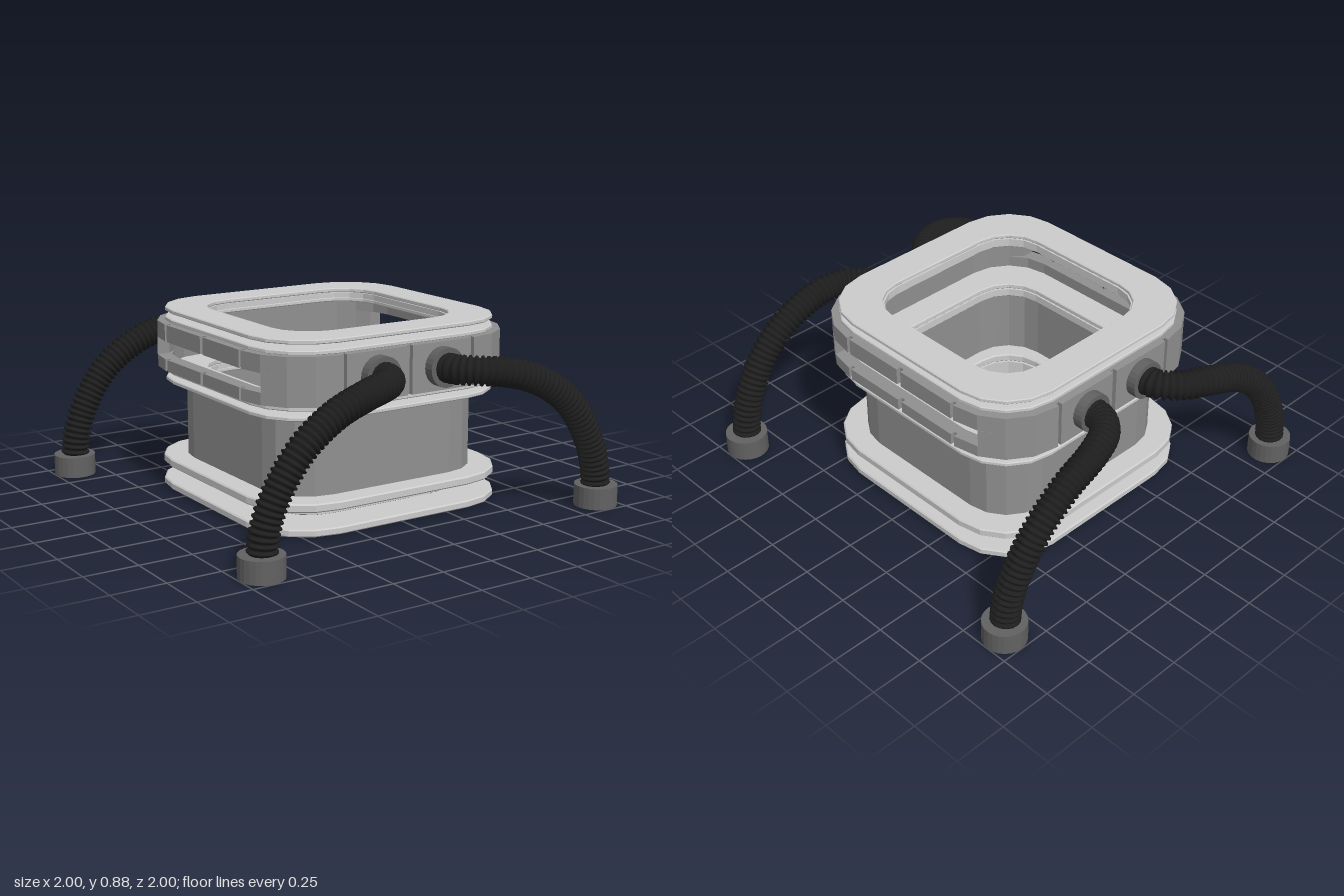
import * as THREE from 'three';

const paint = (color) => new THREE.MeshStandardMaterial({ color, flatShading: true });
const SEG = 4; // facets per rounded corner

// Points round one corner of a rounded square, from the x side to the z side
function corner(half, r, sx, sz, first = 0) {
  const pts = [];
  for (let i = first; i <= SEG; i++) {
    const a = (i / SEG) * Math.PI / 2;
    pts.push(new THREE.Vector2(sx * (half - r + r * Math.cos(a)), sz * (half - r + r * Math.sin(a))));
  }
  return pts;
}

function outline(half, r) {
  return [
    ...corner(half, r, 1, 1), ...corner(half, r, -1, 1).reverse(),
    ...corner(half, r, -1, -1), ...corner(half, r, 1, -1).reverse(),
  ];
}

// Extrude a plan shape upwards from y0 to y1
function slab(shape, y0, y1, bevel = 0) {
  const g = new THREE.ExtrudeGeometry(shape, {
    depth: y1 - y0 - 2 * bevel, bevelEnabled: bevel > 0, bevelSize: bevel,
    bevelThickness: bevel, bevelOffset: -bevel, bevelSegments: 1,
  });
  g.rotateX(-Math.PI / 2);
  g.translate(0, y0 + bevel, 0);
  return g;
}

export function createModel() {
  const model = new THREE.Group();
  const light = paint(0xcccccc), grey = paint(0x909090), dark = paint(0x626262);
  const rubber = new THREE.MeshStandardMaterial({ color: 0x1e1e1e });
  const add = (name, geometry, material, parent = model) => {
    const mesh = new THREE.Mesh(geometry, material);
    mesh.name = name;
    parent.add(mesh);
    return mesh;
  };
  const ring = (name, y0, y1, half, r, inHalf, inR, material, bevel = 0) => {
    const shape = new THREE.Shape(outline(half, r));
    shape.holes.push(new THREE.Path(outline(inHalf, inR)));
    add(name, slab(shape, y0, y1, bevel), material);
  };

  // Flanges and necks
  ring('bottomFlange', 0.01, 0.045, 0.65, 0.3, 0.46, 0.19, light, 0.006);
  ring('lowerNeck', 0.045, 0.12, 0.465, 0.195, 0.455, 0.19, light);
  ring('lowerFlange', 0.12, 0.16, 0.65, 0.3, 0.46, 0.19, light, 0.006);
  ring('middleFlange', 0.52, 0.54, 0.63, 0.28, 0.46, 0.19, light, 0.004);
  ring('middleNeck', 0.54, 0.565, 0.465, 0.195, 0.455, 0.19, light);
  ring('collarFloor', 0.565, 0.59, 0.63, 0.28, 0.46, 0.19, light, 0.004);
  ring('collarRoof', 0.808, 0.828, 0.63, 0.28, 0.46, 0.19, light, 0.004);
  ring('upperNeck', 0.828, 0.855, 0.465, 0.195, 0.455, 0.19, light);
  ring('topFlange', 0.855, 0.875, 0.63, 0.28, 0.46, 0.19, light, 0.004);

  // Main body wall
  ring('body', 0.16, 0.52, 0.545, 0.23, 0.525, 0.21, grey);

  // Collar core: full rings below and above the side slots, two walls between
  const Y = [0.59, 0.645, 0.73, 0.81], SLOT = 0.475;
  ring('collarLowerBand', Y[0], Y[1], 0.645, 0.295, 0.6, 0.25, grey);
  ring('collarUpperBand', Y[2], Y[3], 0.645, 0.295, 0.6, 0.25, grey);
  const clip = (pts) => pts.map((p) => new THREE.Vector2(p.x, Math.sign(p.y) * Math.max(Math.abs(p.y), SLOT)));
  for (const sz of [1, -1]) {
    const wall = (half, r) => [...corner(half, r, 1, sz, 1), ...corner(half, r, -1, sz, 1).reverse()];
    const shape = new THREE.Shape(clip([...wall(0.645, 0.295), ...wall(0.6, 0.25).reverse()]));
    add('collarWall', slab(shape, Y[1], Y[2]), grey);
  }

  // Collar cladding: corner panels, cut away by the slots, and straight panels
  for (const sx of [1, -1]) for (const sz of [1, -1]) {
    const panel = (first) => [...corner(0.667, 0.317, sx, sz, first), ...corner(0.637, 0.287, sx, sz, first).reverse()];
    for (let i = 0; i < 3; i++) {
      const pts = i === 1 ? clip(panel(1)) : panel(0);
      add('cornerPanel', slab(new THREE.Shape(pts), Y[i], Y[i + 1]), grey);
    }
    add('facePanel', new THREE.BoxGeometry(0.32, Y[3] - Y[0], 0.03), grey)
      .position.set(sx * 0.172, (Y[0] + Y[3]) / 2, sz * 0.652);
    for (const i of [0, 2]) {
      add('sideStrip', new THREE.BoxGeometry(0.03, Y[i + 1] - Y[i], 0.32), grey)
        .position.set(sx * 0.652, (Y[i] + Y[i + 1]) / 2, sz * 0.172);
    }
  }

  // Four corrugated hoses with their ports and feet
  const RINGS = 184, SIDES = 16, RIBS = [0.057, 0.068, 0.068, 0.057];
  const route = [
    [0.17, 0.7, 0.68], [0.18, 0.7, 0.76], [0.25, 0.7, 0.84], [0.38, 0.685, 0.89], [0.55, 0.625, 0.905],
    [0.71, 0.51, 0.91], [0.83, 0.34, 0.905], [0.885, 0.19, 0.9], [0.9, 0.04, 0.9],
  ];
  for (const sx of [1, -1]) for (const sz of [1, -1]) {
    const arm = new THREE.Group();
    arm.name = 'hoseArm';
    model.add(arm);
    const path = new THREE.CatmullRomCurve3(route.map(([x, y, z]) => new THREE.Vector3(sx * x, y, sz * z)));
    const hose = new THREE.TubeGeometry(path, RINGS, 1, SIDES);
    const pos = hose.attributes.position, v = new THREE.Vector3();
    for (let i = 0; i < pos.count; i++) {
      const k = Math.floor(i / (SIDES + 1));
      const centre = path.getPointAt(k / RINGS);
      v.fromBufferAttribute(pos, i).sub(centre).multiplyScalar(RIBS[k % 4]).add(centre);
      pos.setXYZ(i, v.x, v.y, v.z);
    }
    hose.computeVertexNormals();
    add('hose', hose, rubber, arm);
    const port = add('hosePort', new THREE.CylinderGeometry(0.09, 0.09, 0.06, 24), dark, arm);
    port.rotation.x = Math.PI / 2;
    port.position.set(sx * 0.17, 0.7, sz * 0.685);
    add('hoseFoot', new THREE.CylinderGeometry(0.1, 0.1, 0.1, 24), dark, arm).position.set(sx * 0.9, 0.05, sz * 0.9);
  }
  return model;
}
